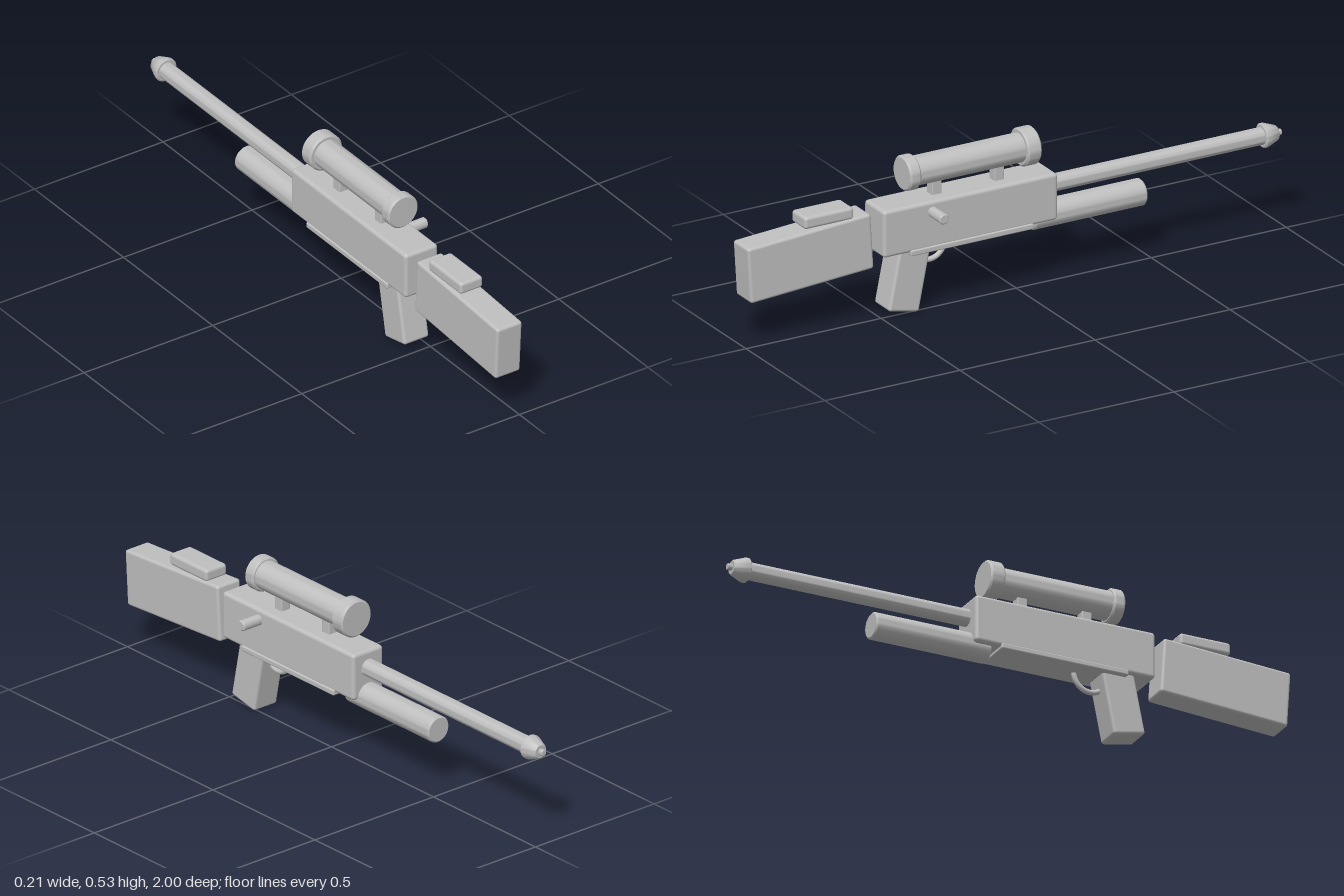
import * as THREE from 'three';
import { toCreasedNormals } from 'three/addons/utils/BufferGeometryUtils.js';
import { RoundedBoxGeometry } from 'three/addons/geometries/RoundedBoxGeometry.js';

const AXIS = -0.036; // x of the centre line

export function createModel() {
  const group = new THREE.Group();
  const grey = new THREE.MeshStandardMaterial({ color: 0xbfbfbf });
  grey.name = 'grey';

  const add = (name, geometry, x, y, z) => {
    const mesh = new THREE.Mesh(geometry, grey);
    mesh.name = name;
    mesh.position.set(x, y, z);
    group.add(mesh);
    return mesh;
  };

  // Box with softened edges, optionally tilted about x
  const box = (name, w, h, d, y, z, radius = 0.01, tilt = 0) => {
    const mesh = add(name, new RoundedBoxGeometry(w, h, d, 3, radius), AXIS, y, z);
    mesh.rotation.x = tilt;
    return mesh;
  };

  // Turned part along z from [radius, z] points, z rising
  const turned = (name, y, profile, segments = 40) => {
    const points = profile.map(([r, z]) => new THREE.Vector2(r, z));
    const geometry = new THREE.LatheGeometry(points, segments).rotateX(Math.PI / 2);
    // The quarter turn maps the profile's height onto +z
    return add(name, toCreasedNormals(geometry, 0.5), AXIS, y, 0);
  };

  // Closed cylinder profile with small bevels
  const rod = (r, z0, z1, b = 0.005) => [
    [0, z0], [r - b, z0], [r, z0 + b], [r, z1 - b], [r - b, z1], [0, z1],
  ];

  // Body
  box('receiver', 0.128, 0.162, 0.645, 0.3, 0.183, 0.012);
  box('lowerPlate', 0.138, 0.02, 0.455, 0.218, 0.18, 0.005);
  box('stock', 0.098, 0.192, 0.457, 0.268, 0.766, 0.01, 0.063);
  box('cheekRest', 0.088, 0.042, 0.182, 0.391, 0.695, 0.011);
  box('grip', 0.098, 0.24, 0.115, 0.13, 0.398, 0.01, -0.2);

  // Trigger guard, a half ring below the receiver
  const guard = new THREE.TorusGeometry(0.058, 0.009, 12, 32, Math.PI);
  guard.rotateZ(Math.PI).rotateY(Math.PI / 2);
  add('triggerGuard', guard, AXIS, 0.211, 0.302);

  // Barrel and muzzle
  turned('barrel', 0.322, rod(0.029, -0.94, -0.13, 0.003));
  turned('muzzle', 0.322, [
    [0, -0.984], [0.022, -0.984], [0.026, -0.98], [0.041, -0.94], [0.041, -0.932],
    [0.036, -0.928], [0, -0.928],
  ]);
  turned('muzzleTip', 0.322, rod(0.011, -1, -0.975, 0.002), 16);
  turned('lowerTube', 0.223, rod(0.045, -0.484, -0.07));

  // Scope
  const scopeY = 0.471;
  turned('scopeTube', scopeY, rod(0.049, -0.05, 0.38));
  turned('scopeFrontCap', scopeY, rod(0.064, -0.082, -0.03, 0.006));
  turned('scopeRearCap', scopeY, rod(0.059, 0.361, 0.402, 0.006));
  for (const z of [0.282, 0.051]) box('scopeMount', 0.036, 0.07, 0.036, 0.405, z, 0.004);

  // Bolt handle on the left side
  const bolt = turned('boltHandle', 0.345, rod(0.018, 0, 0.085, 0.004), 24);
  bolt.rotation.y = Math.PI / 2;
  bolt.position.set(0.018, 0.345, 0.325);

  return group;
}
